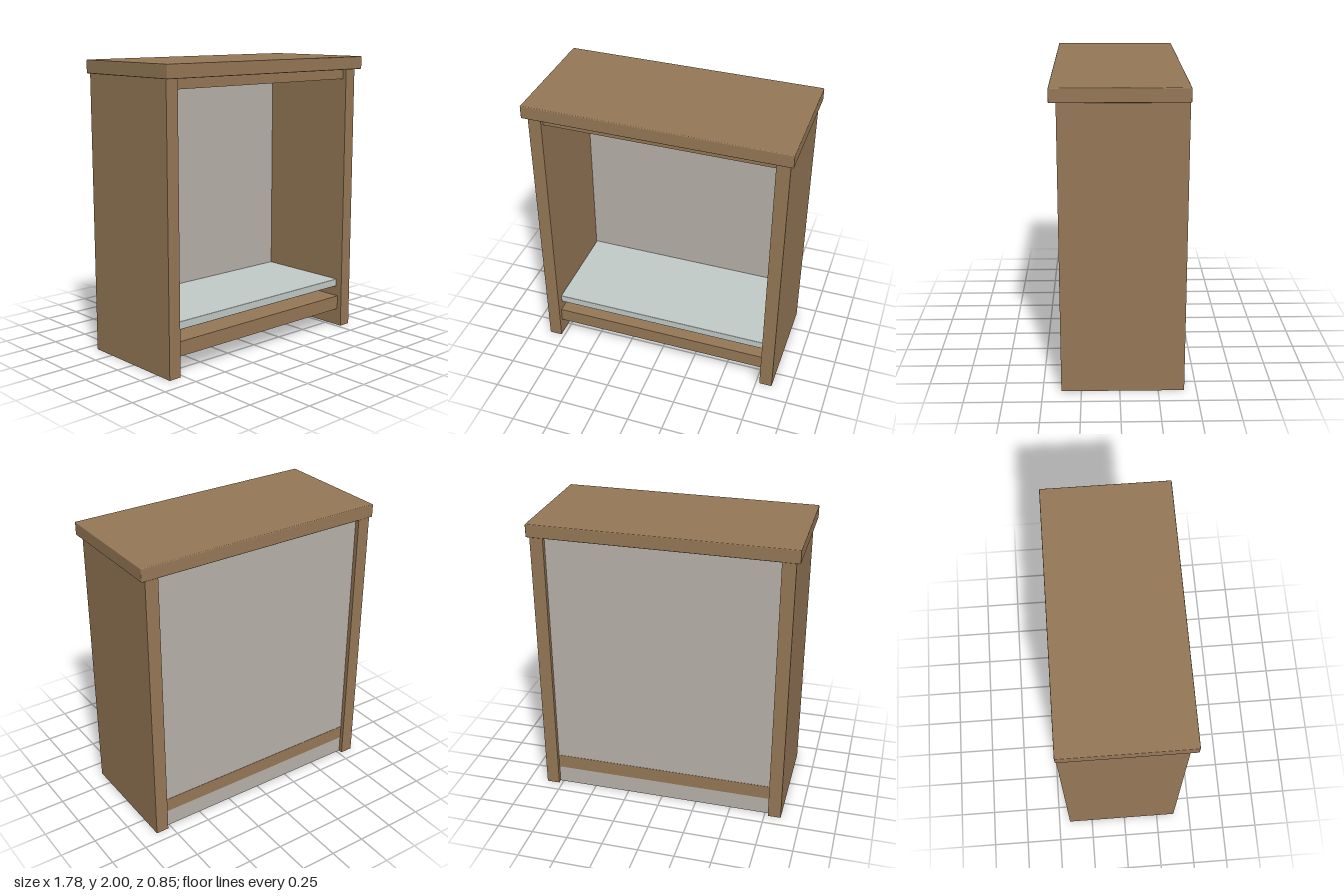
import * as THREE from 'three';
import { RoundedBoxGeometry } from 'three/addons/geometries/RoundedBoxGeometry.js';

export function createModel() {
  const group = new THREE.Group();
  group.name = 'cabinet';

  const material = (name, color) => {
    const m = new THREE.MeshStandardMaterial({ color });
    m.name = name;
    return m;
  };
  const wood = material('wood', 0x967857);
  const backing = material('backing', 0xb8b1aa);
  const glass = material('frosted glass', 0xc3ccc9);

  // Board given by its [min, max] extents, with optional softened edges
  const board = (name, mat, [x0, x1], [y0, y1], [z0, z1], radius = 0) => {
    const size = [x1 - x0, y1 - y0, z1 - z0];
    const geometry = radius
      ? new RoundedBoxGeometry(...size, 2, radius)
      : new THREE.BoxGeometry(...size);
    const mesh = new THREE.Mesh(geometry, mat);
    mesh.name = name;
    mesh.position.set((x0 + x1) / 2, (y0 + y1) / 2, (z0 + z1) / 2);
    group.add(mesh);
  };

  // Overhanging top
  board('top', wood, [-0.89, 0.89], [1.91, 2], [-0.425, 0.425], 0.006);

  // Side walls
  board('leftSide', wood, [0.775, 0.865], [0, 1.91], [-0.42, 0.38]);
  board('rightSide', wood, [-0.865, -0.775], [0, 1.91], [-0.42, 0.38]);

  // Rail below the top and bottom board, whose rear edge shows through the back
  board('topRail', wood, [-0.775, 0.775], [1.84, 1.91], [0.26, 0.35]);
  board('bottomBoard', wood, [-0.775, 0.775], [0.125, 0.225], [-0.392, 0.345]);

  // Inset back panel
  board('backPanel', backing, [-0.775, 0.775], [0, 1.905], [-0.39, -0.36]);

  // Glass shelf
  board('glassShelf', glass, [-0.772, 0.772], [0.3, 0.355], [-0.36, 0.335], 0.005);

  return group;
}
